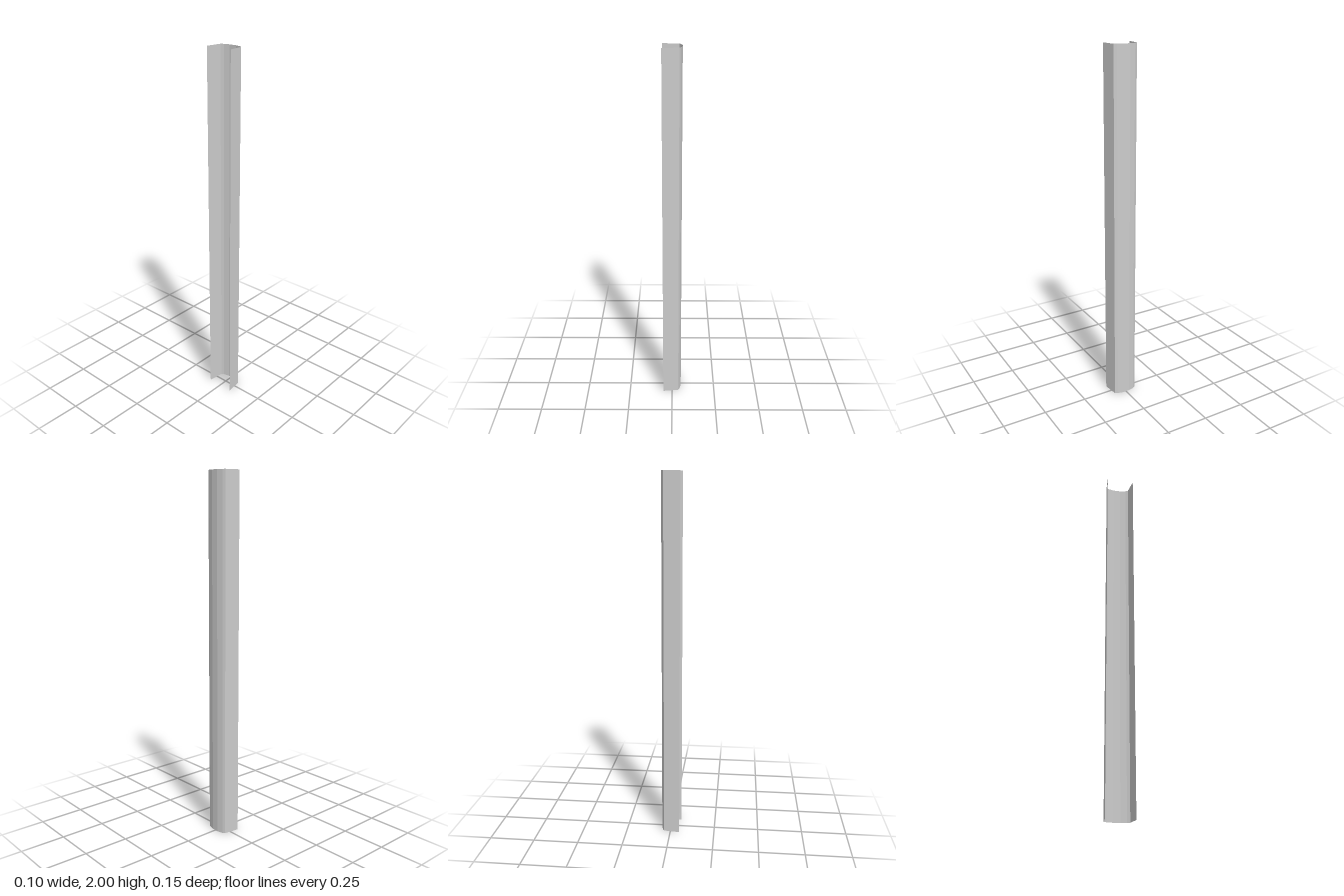
import * as THREE from 'three';

// Half of the sheet's cross-section as [x, z], from the free edge to the web
const HALF = [[-0.052, 0.077], [0.036, 0.067], [0.044, 0.052], [0.052, 0.02]];
const HEIGHT = 2;

// Upright flat panel between two cross-section points
function panel(name, [x0, z0], [x1, z1], material) {
  const geometry = new THREE.PlaneGeometry(Math.hypot(x1 - x0, z1 - z0), HEIGHT);
  const mesh = new THREE.Mesh(geometry, material);
  mesh.name = name;
  mesh.position.set((x0 + x1) / 2, HEIGHT / 2, (z0 + z1) / 2);
  mesh.rotation.y = Math.atan2(z0 - z1, x1 - x0);
  return mesh;
}

export function createModel() {
  const group = new THREE.Group();
  group.name = 'foldedChannelPost';
  const material = new THREE.MeshStandardMaterial({
    color: 0xcccccc, flatShading: true, side: THREE.DoubleSide,
  });

  // Flared flanges and the folds leading to the web, mirrored front to back
  const parts = ['Flange', 'CornerFold', 'WebFold'];
  for (const [side, s] of [['front', 1], ['back', -1]]) {
    const pts = HALF.map(([x, z]) => [x, z * s]);
    parts.forEach((part, i) => {
      const [a, b] = s > 0 ? [pts[i], pts[i + 1]] : [pts[i + 1], pts[i]];
      group.add(panel(side + part, a, b, material));
    });
  }

  // Flat middle of the web
  const [x, z] = HALF[3];
  group.add(panel('web', [x, z], [x, -z], material));
  return group;
}
